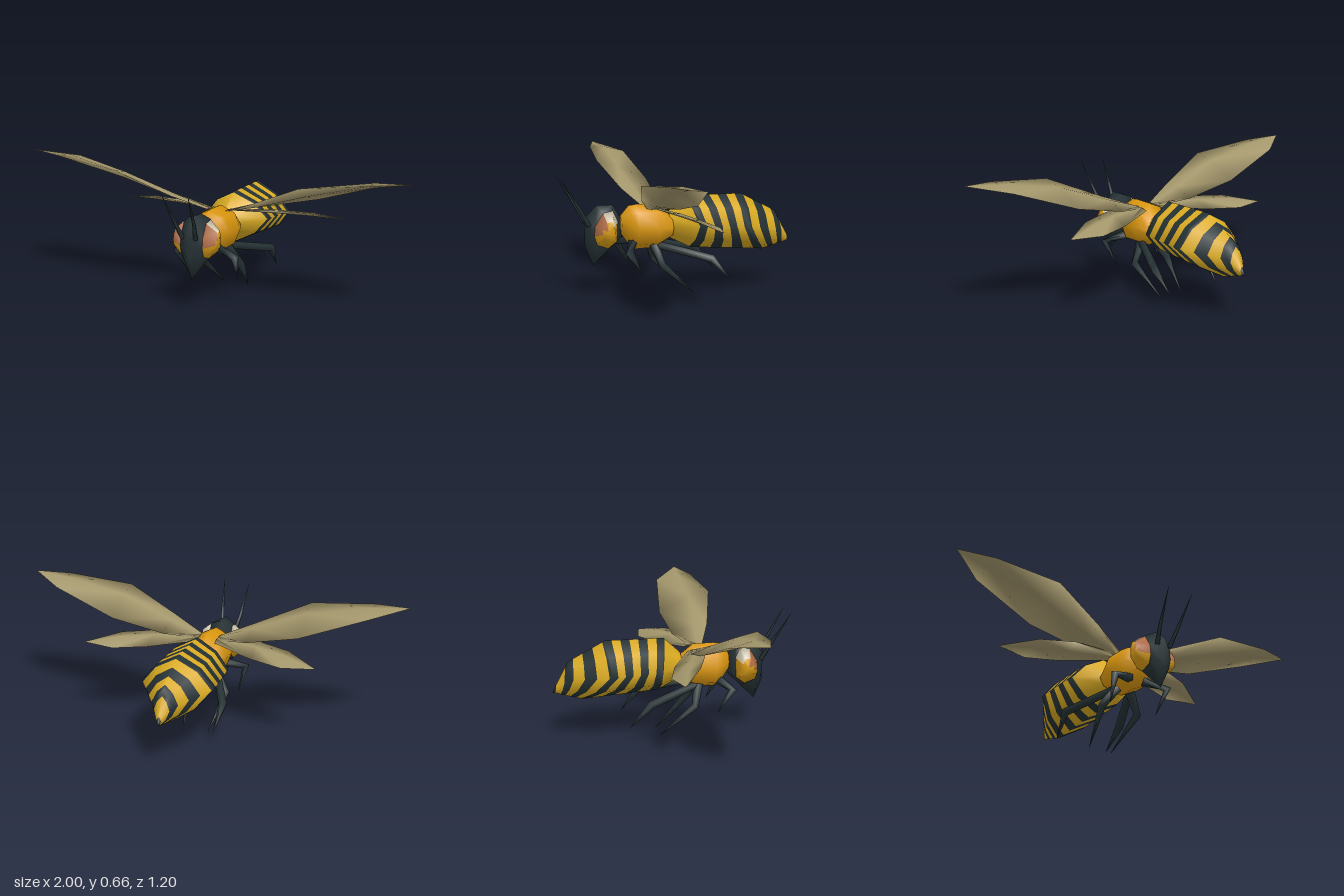
import * as THREE from 'three';

const mat = (name, color) => Object.assign(new THREE.MeshStandardMaterial({ color }), { name });

// Skins a row of equal-sized closed rings; pick(segment, side) chooses the material index
function loft(name, rings, mats, pick = () => 0) {
  const n = rings[0].length, pos = rings.flat(2), faces = mats.map(() => []);
  for (let i = 0; i < rings.length - 1; i++) {
    for (let j = 0; j < n; j++) {
      const k = (j + 1) % n, a = i * n + j, b = i * n + k, c = a + n, d = b + n;
      faces[pick(i, j)].push([a, b, d], [a, d, c]);
    }
  }
  // Turn the faces outward by the sign of the enclosed volume
  const v = (i) => new THREE.Vector3(pos[i * 3], pos[i * 3 + 1], pos[i * 3 + 2]);
  let vol = 0;
  faces.flat().forEach(([a, b, c]) => { vol += v(a).dot(v(b).cross(v(c))); });
  const geo = new THREE.BufferGeometry();
  geo.setAttribute('position', new THREE.Float32BufferAttribute(pos, 3));
  const index = [];
  faces.forEach((list, m) => {
    geo.addGroup(index.length, list.length * 3, m);
    list.forEach(([a, b, c]) => index.push(...(vol < 0 ? [a, c, b] : [a, b, c])));
  });
  geo.setIndex(index);
  geo.computeVertexNormals();
  const mesh = new THREE.Mesh(geo, mats);
  mesh.name = name;
  return mesh;
}

const lerp = THREE.MathUtils.lerp;
const center = (ring) => ring.map(() => [0, 1, 2].map((a) => ring.reduce((s, p) => s + p[a], 0) / ring.length));
const closed = (rings) => [center(rings[0]), ...rings, center(rings[rings.length - 1])];

// Eight-point body section from top z, top y, bottom z, bottom y, half width, side z
function section([tz, ty, bz, by, w, sz], d) {
  const my = (ty + by) / 2, h = (ty - by) / 2, tm = (tz + sz) / 2, bm = (bz + sz) / 2;
  return [[0, ty, tz], [w * d, my + h * d, tm], [w, my, sz], [w * d, my - h * d, bm],
    [0, by, bz], [-w * d, my - h * d, bm], [-w, my, sz], [-w * d, my + h * d, tm]];
}

// Tapering limb through a few joints
function limb(name, points, radii, material) {
  const P = points.map((p) => new THREE.Vector3(...p));
  const rings = P.map((p, i) => {
    const dir = P[Math.min(i + 1, P.length - 1)].clone().sub(P[Math.max(i - 1, 0)]).normalize();
    const u = new THREE.Vector3(1, 0, 0).cross(dir).normalize(), w = dir.clone().cross(u);
    return [0, 1, 2, 3, 4].map((k) => {
      const a = (k / 5) * Math.PI * 2;
      return p.clone().addScaledVector(u, Math.cos(a) * radii[i]).addScaledVector(w, Math.sin(a) * radii[i]).toArray();
    });
  });
  return loft(name, closed(rings), [material]);
}

export function createModel() {
  const g = new THREE.Group();
  g.name = 'wasp';
  const dark = mat('dark shell', 0x253134), yellow = mat('stripe yellow', 0xdaab22);
  const orange = mat('thorax orange', 0xd9960f), wingTan = mat('wing tan', 0xa3966b);
  const eyeGold = mat('eye gold', 0xd99c16), cream = mat('eye cream', 0xd8cfb8), rust = mat('eye rust', 0xb4704a);

  // Striped abdomen, cut at every stripe edge and bend
  const keys = [
    [0.045, 0.41, 0.045, 0.28, 0.06, 0.045], [-0.04, 0.487, -0.07, 0.222, 0.175, -0.08],
    [-0.335, 0.487, -0.45, 0.195, 0.185, -0.325], [-0.52, 0.39, -0.55, 0.222, 0.048, -0.53],
    [-0.6, 0.237, -0.6, 0.237, 0, -0.6]];
  const bands = [[-0.035, -0.075], [-0.122, -0.168], [-0.212, -0.258], [-0.302, -0.348],
    [-0.398, -0.448], [-0.495, -0.535], [-0.58, -0.6]];
  const cuts = [...new Set([...keys.map((k) => k[0]), ...bands.flat()])].sort((a, b) => b - a);
  const abdomenRings = cuts.map((z) => {
    const i = Math.max(0, Math.min(keys.length - 2, keys.findIndex((k) => k[0] <= z) - 1));
    const t = (z - keys[i][0]) / (keys[i + 1][0] - keys[i][0]);
    return section(keys[i].map((v, c) => lerp(v, keys[i + 1][c], t)), 0.6);
  });
  const isDark = (i) => {
    const z = (cuts[i] + cuts[i + 1]) / 2;
    return bands.some(([a, b]) => z < a && z > b) ? 1 : 0;
  };
  g.add(loft('abdomen', abdomenRings, [yellow, dark], isDark));

  // Thorax
  const thorax = [[0.29, 0.4, 0.31, 0.04], [0.25, 0.447, 0.255, 0.085], [0.215, 0.452, 0.226, 0.1],
    [0.11, 0.45, 0.23, 0.105], [0.035, 0.39, 0.28, 0.075]];
  g.add(loft('thorax', closed(thorax.map(([z, t, b, w]) => section([z, t, z, b, w, z], 0.7))), [orange]));

  // Head: ridge profile in the middle, eye outlines at the sides (z, y)
  const ridge = [[0.475, 0.39], [0.41, 0.455], [0.33, 0.455], [0.29, 0.39],
    [0.285, 0.295], [0.36, 0.22], [0.43, 0.153], [0.47, 0.25]];
  const rim = [[0.43, 0.36], [0.39, 0.425], [0.34, 0.435], [0.315, 0.38],
    [0.32, 0.28], [0.365, 0.245], [0.42, 0.265], [0.435, 0.31]];
  const at = (pts, x) => pts.map(([z, y]) => [x, y, z]);
  g.add(loft('head', closed([at(rim, 0.058), at(ridge, 0), at(rim, -0.058)]), [dark]));
  const dome = rim.map(([z, y]) => [lerp(0.372, z, 0.5), lerp(0.34, y, 0.5)]);

  for (const s of [1, -1]) {
    const side = s > 0 ? 'left' : 'right';
    const flip = (pts) => pts.map(([x, y, z]) => [x * s, y, z]);

    // Eye with cream top and rust front patch
    g.add(loft(side + 'Eye', closed([at(rim, 0.056 * s), at(dome, 0.112 * s)]), [eyeGold, cream, rust],
      (i, j) => (i === 1 && (j === 1 || j === 2) ? 1 : i > 0 && (j === 0 || (j === 7 && i === 1)) ? 2 : 0)));

    g.add(limb(side + 'Antenna', flip([[0.035, 0.36, 0.455], [0.05, 0.44, 0.5], [0.07, 0.602, 0.6]]),
      [0.012, 0.009, 0.0005], dark));

    // Three legs: hip, knee, tip
    const legs = {
      FrontLeg: [[[0.04, 0.27, 0.235], [0.155, 0.24, 0.28], [0.135, 0.125, 0.21]], [0.025, 0.022, 0.001]],
      MiddleLeg: [[[0.04, 0.25, 0.13], [0.105, 0.155, 0.1], [0.065, 0, -0.07]], [0.026, 0.02, 0.001]],
      HindLeg: [[[0.05, 0.25, 0.11], [0.165, 0.19, -0.135], [0.15, 0.08, -0.235]], [0.02, 0.022, 0.001]],
    };
    for (const [name, [pts, radii]] of Object.entries(legs)) g.add(limb(side + name, flip(pts), radii, dark));

    // Wings as thin lenses: x, front z, front y, back z, back y
    const wings = {
      Forewing: [[0.05, 0.17, 0.435, 0.1, 0.43], [0.22, 0.235, 0.5, 0.05, 0.452], [0.49, 0.305, 0.615, 0.035, 0.51],
        [0.82, 0.275, 0.652, 0.085, 0.625], [1, 0.225, 0.663, 0.22, 0.663]],
      Hindwing: [[0.05, 0.14, 0.435, 0.07, 0.425], [0.27, 0.11, 0.448, -0.04, 0.405],
        [0.44, 0.05, 0.438, -0.09, 0.395], [0.6, -0.05, 0.4, -0.06, 0.398]],
    };
    for (const [name, rows] of Object.entries(wings)) {
      const rings = rows.map(([x, fz, fy, bz, by]) => {
        const t = (fz - bz) * 0.06, mz = lerp(fz, bz, 0.4), my = lerp(fy, by, 0.4);
        return flip([[x, fy, fz], [x, my + t, mz], [x, by, bz], [x, my - t, mz]]);
      });
      g.add(loft(side + name, closed(rings), [wingTan]));
    }
  }
  return g;
}
